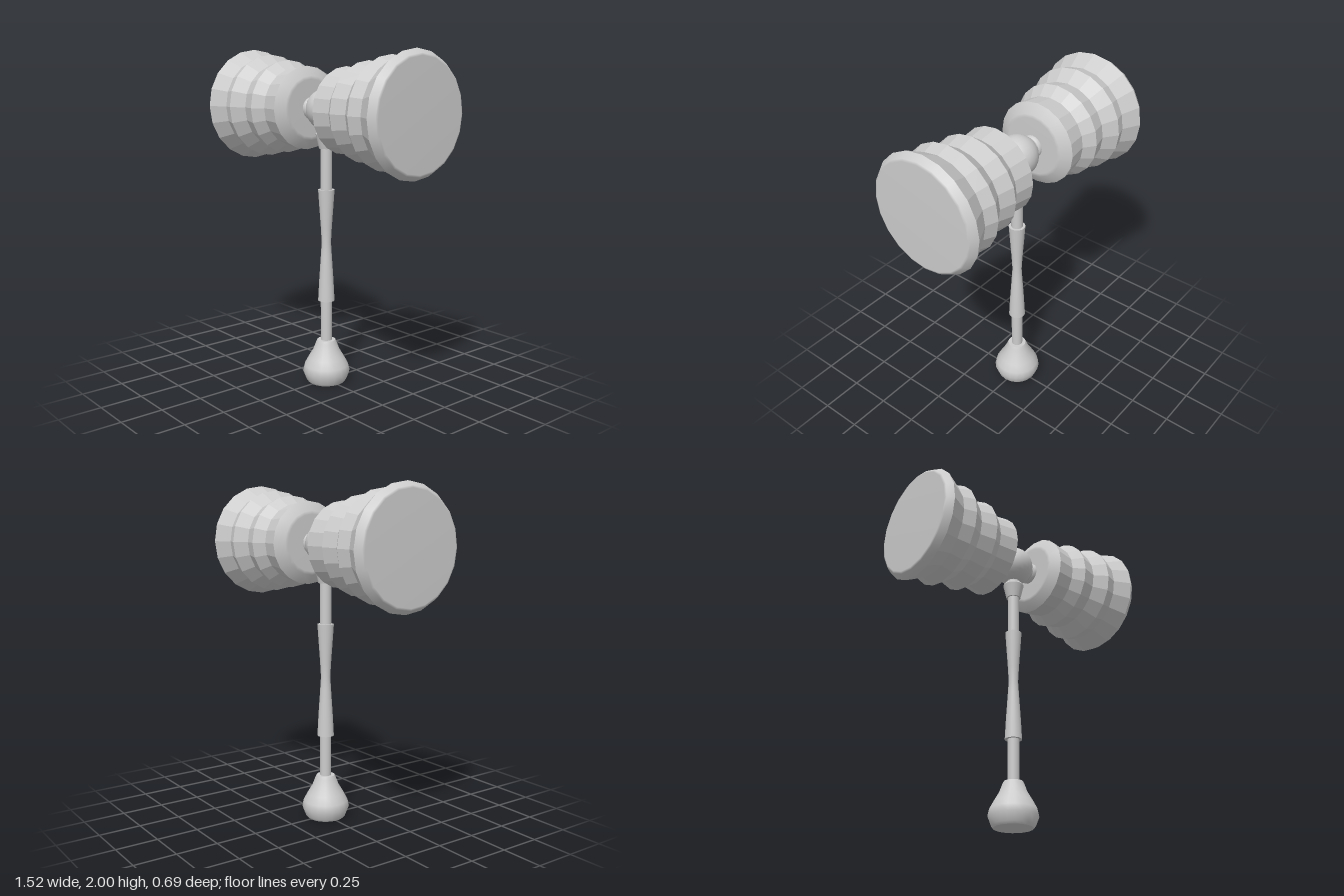
import * as THREE from 'three';

const grey = new THREE.MeshStandardMaterial({ color: 0xcccccc });
grey.name = 'light grey';

// Turned part from [radius, height] points, bottom to top
function turned(name, points, segments = 20, flat = false) {
  let geometry = new THREE.LatheGeometry(points.map(([r, y]) => new THREE.Vector2(r, y)), segments);
  if (flat) {
    geometry = geometry.toNonIndexed();
    geometry.computeVertexNormals();
  }
  const mesh = new THREE.Mesh(geometry, grey);
  mesh.name = name;
  return mesh;
}

// One half of the mallet head, built along +y from the centre outwards
function headHalf(name) {
  const half = new THREE.Group();
  half.name = name;
  half.add(
    turned('headNeck', [[0.063, 0.08], [0.063, 0.14]]),
    turned('headNeckCollar', [[0.045, 0.11], [0.066, 0.112], [0.066, 0.14]]),
    turned('innerFace', [[0, 0.136], [0.17, 0.136], [0.19, 0.138], [0.247, 0.176]]),
    turned('ridgedBody', [
      [0.247, 0.176], [0.231, 0.294], [0.28, 0.36], [0.255, 0.456],
      [0.312, 0.536], [0.289, 0.61], [0.3425, 0.714],
    ], 20, true),
    turned('strikingFace', [[0.3425, 0.714], [0.318, 0.752], [0.305, 0.758], [0, 0.758]]),
  );
  return half;
}

export function createModel() {
  const model = new THREE.Group();
  model.name = 'mallet';
  const headY = 1.6575;

  // Pommel
  model.add(
    turned('pommelBottom', [[0, 0], [0.112, 0]]),
    turned('pommel', [
      [0.112, 0], [0.124, 0.015], [0.143, 0.065], [0.134, 0.105], [0.11, 0.15],
      [0.08, 0.2], [0.063, 0.245], [0.055, 0.262],
    ]),
    turned('pommelTop', [[0.055, 0.262], [0, 0.262]]),
  );

  // Shaft and waisted grip
  model.add(
    turned('lowerShaft', [[0.034, 0.25], [0.034, 0.52]]),
    turned('gripBottom', [[0, 0.51], [0.05, 0.51]]),
    turned('grip', [[0.05, 0.51], [0.043, 0.64], [0.033, 0.79], [0.028, 0.87], [0.033, 0.96], [0.043, 1.1], [0.049, 1.188]]),
    turned('gripTop', [[0.049, 1.188], [0, 1.188]]),
    turned('upperShaft', [[0.034, 1.18], [0.034, 1.45]]),
  );

  // Flared collar under the ball
  model.add(
    turned('collarBottom', [[0, 1.43], [0.043, 1.43]]),
    turned('collar', [[0.043, 1.43], [0.063, 1.515]]),
    turned('collarTop', [[0.063, 1.515], [0.058, 1.525], [0, 1.525]]),
    turned('ballStem', [[0.042, 1.52], [0.042, 1.57]]),
  );

  // Centre ball
  const ball = new THREE.Mesh(new THREE.SphereGeometry(0.12, 24, 16), grey);
  ball.name = 'centreBall';
  ball.position.y = headY;
  model.add(ball);

  // Mirrored head halves
  for (const side of [1, -1]) {
    const half = headHalf(side > 0 ? 'leftHead' : 'rightHead');
    half.rotation.z = -side * Math.PI / 2;
    half.position.y = headY;
    model.add(half);
  }
  return model;
}
